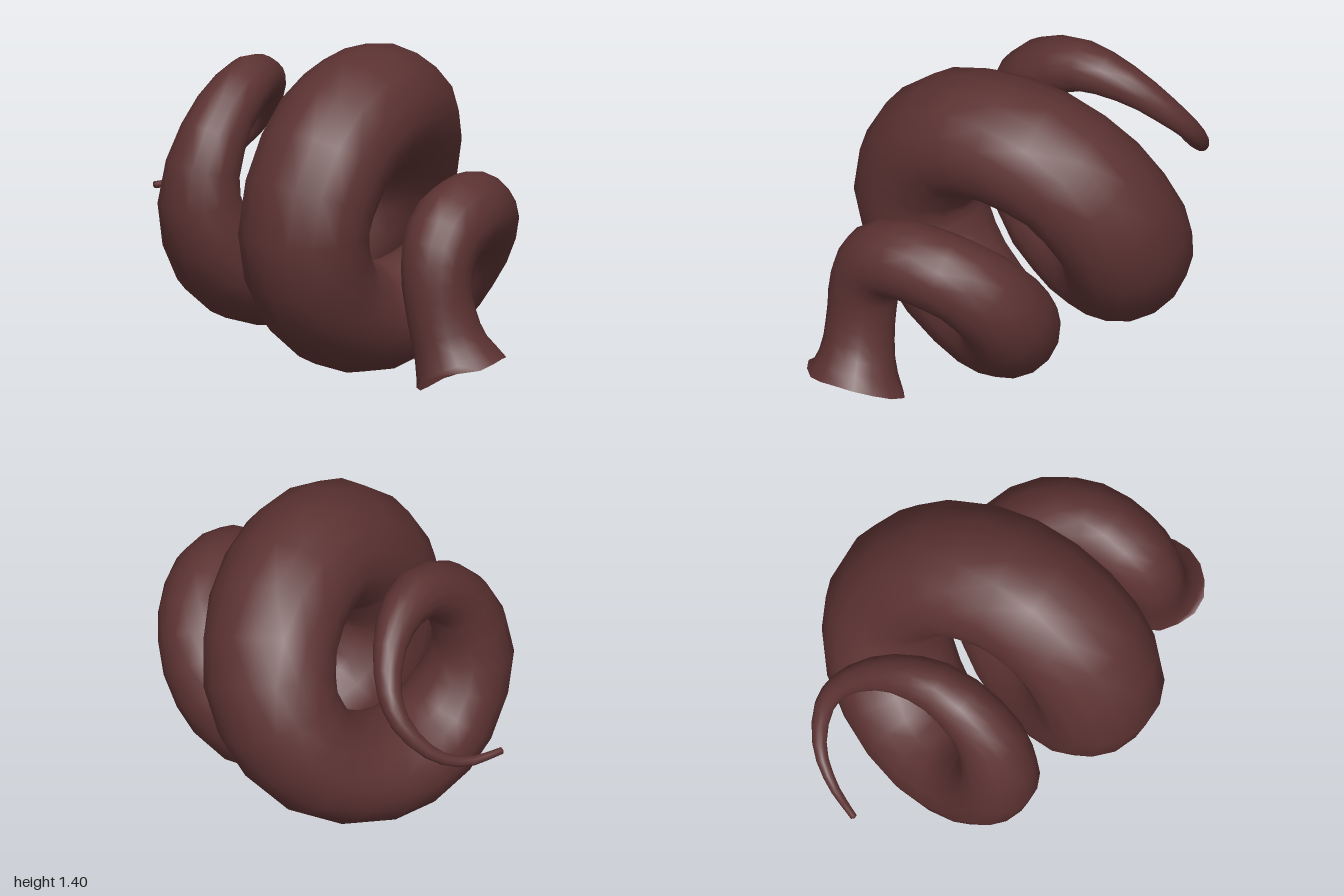
import * as THREE from 'three';

// centreline stations from mouth to tail tip: x, y, z, radius, depth radius
const STATIONS = [
  [-0.2, 0.115, 0.815, 0.2, 0.2], [-0.222, 0.25, 0.765, 0.158, 0.158], [-0.24, 0.42, 0.725, 0.148, 0.148],
  [-0.23, 0.58, 0.705, 0.157, 0.157], [-0.15, 0.71, 0.69, 0.172, 0.172], [0.03, 0.757, 0.66, 0.174, 0.176],
  [0.215, 0.685, 0.55, 0.183, 0.187], [0.288, 0.51, 0.405, 0.198, 0.202], [0.205, 0.32, 0.275, 0.215, 0.222],
  [-0.03, 0.24, 0.18, 0.24, 0.245], [-0.325, 0.37, 0.145, 0.26, 0.272], [-0.46, 0.69, 0.155, 0.27, 0.292],
  [-0.295, 1.02, 0.16, 0.275, 0.303], [0.0, 1.13, 0.12, 0.275, 0.303], [0.305, 1.035, 0.005, 0.275, 0.303],
  [0.46, 0.75, -0.14, 0.265, 0.297], [0.35, 0.46, -0.285, 0.25, 0.288], [0.04, 0.33, -0.395, 0.225, 0.272],
  [-0.27, 0.425, -0.43, 0.205, 0.238], [-0.43, 0.735, -0.45, 0.174, 0.182], [-0.335, 1.04, -0.425, 0.14, 0.145],
  [-0.1, 1.183, -0.45, 0.115, 0.117], [0.12, 1.145, -0.53, 0.083, 0.083], [0.27, 1.0, -0.65, 0.057, 0.057],
  [0.3, 0.87, -0.75, 0.044, 0.044], [0.22, 0.72, -0.87, 0.03, 0.03], [0.08, 0.645, -0.94, 0.022, 0.022],
  [-0.08, 0.645, -0.985, 0.015, 0.015],
];
const SIDES = 16;
const RINGS = 64;

// uneven lip of the mouth: radius factor and lift for each side, starting at the front
const LIP = [1, 1, 1.03, 1.1, 1.15, 1.2, 1.08, 0.97, 1, 1, 1.03, 1.03, 1.07, 1.05, 1, 1];
const LIFT = [0.01, 0.01, 0, -0.01, -0.025, -0.03, -0.02, -0.01, -0.015, -0.01, 0.02, 0.05, 0.06, 0.05, 0.03, 0.01];

function sweptBody() {
  const path = new THREE.CatmullRomCurve3(STATIONS.map(([x, y, z]) => new THREE.Vector3(x, y, z)));
  const girth = new THREE.SplineCurve(STATIONS.map((s) => new THREE.Vector2(s[3], s[4])));
  const positions = [];
  const indices = [];
  const forward = new THREE.Vector3(0, 0, 1);
  for (let i = 0; i <= RINGS; i++) {
    const t = i / RINGS;
    const centre = path.getPoint(t);
    const tangent = path.getTangent(t);
    const n = forward.clone().addScaledVector(tangent, -forward.dot(tangent)).normalize();
    const b = new THREE.Vector3().crossVectors(tangent, n);
    const { x: radius, y: depth } = girth.getPoint(t);
    for (let j = 0; j < SIDES; j++) {
      const a = (j / SIDES) * Math.PI * 2;
      const flare = i === 0 ? LIP[j] : 1;
      const p = centre.clone()
        .addScaledVector(n, depth * flare * Math.cos(a))
        .addScaledVector(b, radius * flare * Math.sin(a));
      if (i === 0) p.y += LIFT[j];
      positions.push(p.x, p.y, p.z);
      if (i < RINGS) {
        const p0 = i * SIDES + j, p1 = i * SIDES + ((j + 1) % SIDES);
        indices.push(p0, p1, p0 + SIDES, p1, p1 + SIDES, p0 + SIDES);
      }
    }
  }
  // closed tail tip
  const tip = path.getPoint(1).addScaledVector(path.getTangent(1), 0.008);
  positions.push(tip.x, tip.y, tip.z);
  const last = RINGS * SIDES;
  for (let j = 0; j < SIDES; j++) indices.push(last + j, last + ((j + 1) % SIDES), last + SIDES);

  const geometry = new THREE.BufferGeometry();
  geometry.setAttribute('position', new THREE.Float32BufferAttribute(positions, 3));
  geometry.setIndex(indices);
  geometry.computeVertexNormals();
  return geometry;
}

export function createModel() {
  const group = new THREE.Group();
  group.name = 'coiledTube';
  const skin = new THREE.MeshStandardMaterial({ color: 0x5c3232, side: THREE.DoubleSide });
  skin.name = 'dark reddish brown';
  // one coiling body, open and flared at the mouth, tapering to the tail
  const body = new THREE.Mesh(sweptBody(), skin);
  body.name = 'coiledBody';
  group.add(body);
  return group;
}
